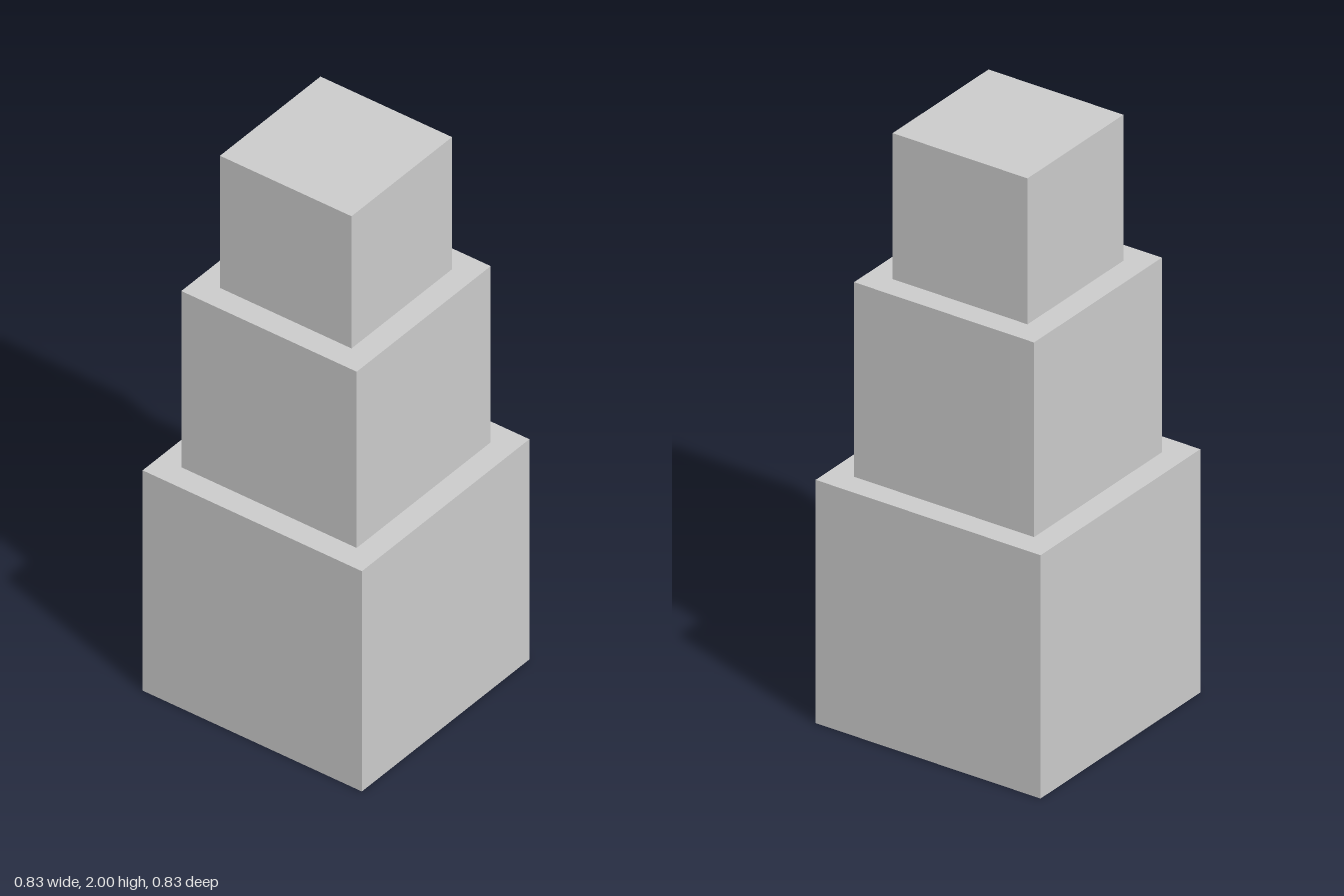
import * as THREE from 'three';

export function createModel() {
  const model = new THREE.Group();
  model.name = 'cubeTower';
  const material = new THREE.MeshStandardMaterial({ color: 0xcccccc });

  // Three cubes with edges in the ratio 5 : 4 : 3, stacked to a height of 2
  const unit = 2 / 12;
  const cubes = [['bottomCube', 5], ['middleCube', 4], ['topCube', 3]];

  let base = 0;
  for (const [name, units] of cubes) {
    const edge = units * unit;
    const cube = new THREE.Mesh(new THREE.BoxGeometry(edge, edge, edge), material);
    cube.name = name;
    cube.position.y = base + edge / 2;
    model.add(cube);
    base += edge;
  }
  return model;
}
